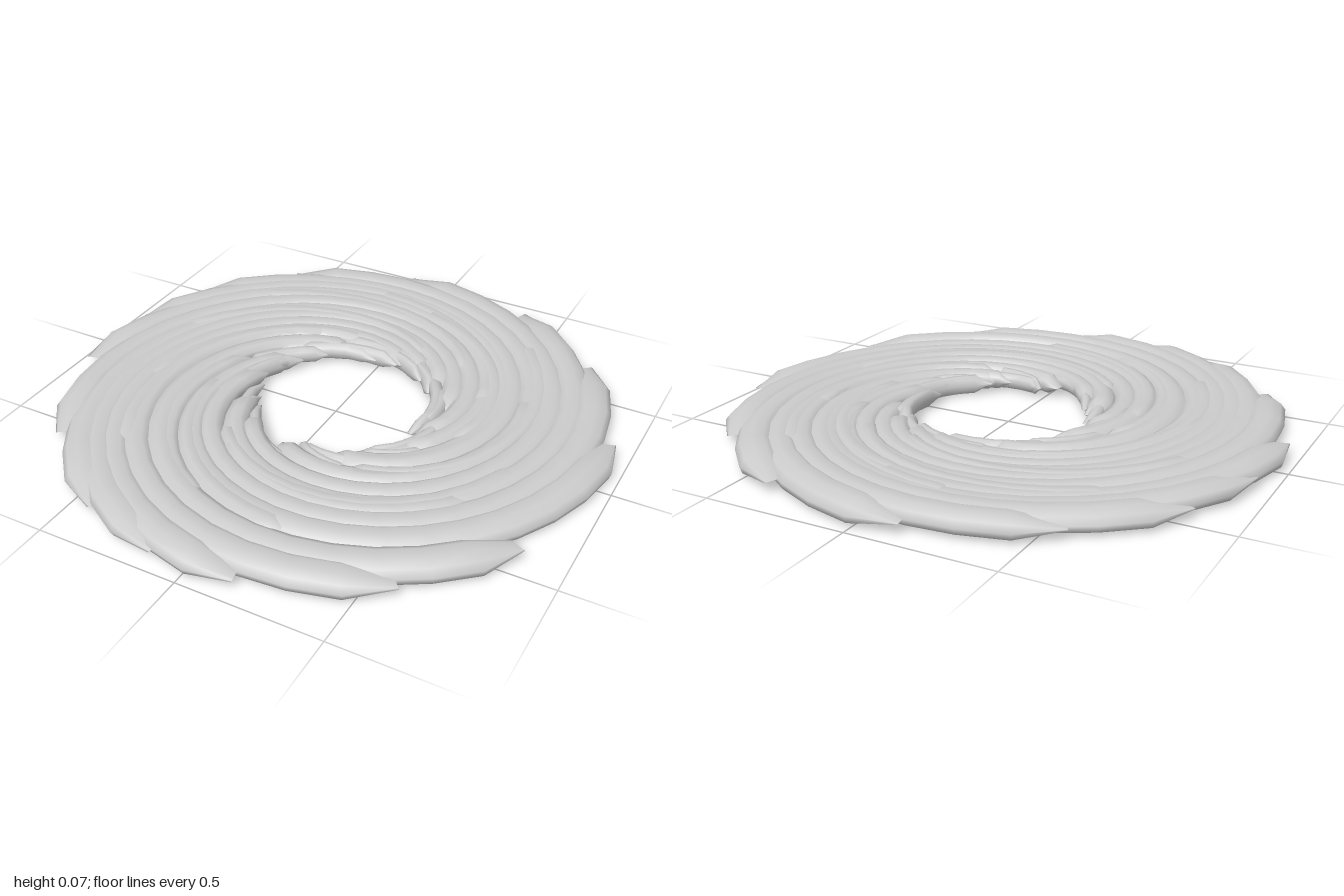
import * as THREE from 'three';

const SIDES = 10;
const MID_Y = 0.039;

// Small seeded generator for uneven blades
function seeded(seed) {
  return () => {
    seed = (seed * 16807) % 2147483647;
    return seed / 2147483647;
  };
}

// Flattened tube swept along an inward spiral, with wedge-shaped ends
function spiralBlade({ start, sweep, outer, inner, halfWidth, halfHeight, steps, tilt }) {
  const positions = [];
  const index = [];
  for (let i = 0; i <= steps; i++) {
    const t = i / steps;
    const angle = start + sweep * t;
    const radius = THREE.MathUtils.lerp(outer, inner, t);
    const atTip = i === 0, atTail = i === steps;
    const w = halfWidth * (atTip ? 0.45 : atTail ? 0.3 : 1 - 0.3 * t);
    const h = atTip || atTail ? 0.0005 : halfHeight;
    // The hole sits slightly off centre
    const cx = 0.02 * t, cz = -0.025 * t;
    for (let j = 0; j < SIDES; j++) {
      const phi = (j / SIDES) * Math.PI * 2;
      const r = radius + w * Math.cos(phi + (atTip ? 0 : tilt));
      positions.push(cx + r * Math.cos(angle), MID_Y + h * Math.sin(phi), cz + r * Math.sin(angle));
      if (i < steps) {
        const a = i * SIDES + j, b = i * SIDES + (j + 1) % SIDES;
        index.push(a, b, a + SIDES, b, b + SIDES, a + SIDES);
      }
    }
  }
  const geometry = new THREE.BufferGeometry();
  geometry.setAttribute('position', new THREE.Float32BufferAttribute(positions, 3));
  geometry.setIndex(index);
  geometry.computeVertexNormals();
  return geometry;
}

export function createModel() {
  const model = new THREE.Group();
  model.name = 'spiralDisc';
  const material = new THREE.MeshStandardMaterial({ color: 0xcccccc });
  const random = seeded(4217);
  const jitter = (amount) => (random() - 0.5) * 2 * amount;

  const addBlade = (name, options) => {
    const mesh = new THREE.Mesh(spiralBlade(options), material);
    mesh.name = name;
    model.add(mesh);
  };

  // Long blades: each tip shows on the rim, each tail ends at the hole
  const tipDegrees = [-13, -42, -68, -99, -128, -152, -171, 170, 141, 115, 97, 80, 51, 26];
  tipDegrees.forEach((degrees, i) => {
    addBlade(`longBlade${i + 1}`, {
      start: THREE.MathUtils.degToRad(degrees),
      sweep: 4 + jitter(0.15),
      outer: 0.935 + jitter(0.006),
      inner: 0.335 + jitter(0.015),
      halfWidth: 0.068,
      halfHeight: 0.0365 + jitter(0.0015),
      steps: 24,
      tilt: 0.12 + jitter(0.1),
    });
  });

  // Middle blades that break up the surface between the long ones
  for (let i = 0; i < 12; i++) {
    addBlade(`middleBlade${i + 1}`, {
      start: (i / 12) * Math.PI * 2 + jitter(0.2),
      sweep: 2 + jitter(0.4),
      outer: 0.74 + jitter(0.07),
      inner: 0.42 + jitter(0.04),
      halfWidth: 0.055,
      halfHeight: 0.037 + jitter(0.0015),
      steps: 12,
      tilt: 0.15 + jitter(0.15),
    });
  }

  // Short thin shards around the ragged hole
  for (let i = 0; i < 18; i++) {
    addBlade(`innerShard${i + 1}`, {
      start: (i / 18) * Math.PI * 2 + jitter(0.15),
      sweep: 0.9 + jitter(0.3),
      outer: 0.4 + jitter(0.03),
      inner: 0.305 + jitter(0.015),
      halfWidth: 0.03,
      halfHeight: 0.03 + jitter(0.006),
      steps: 6,
      tilt: jitter(0.3),
    });
  }
  return model;
}
